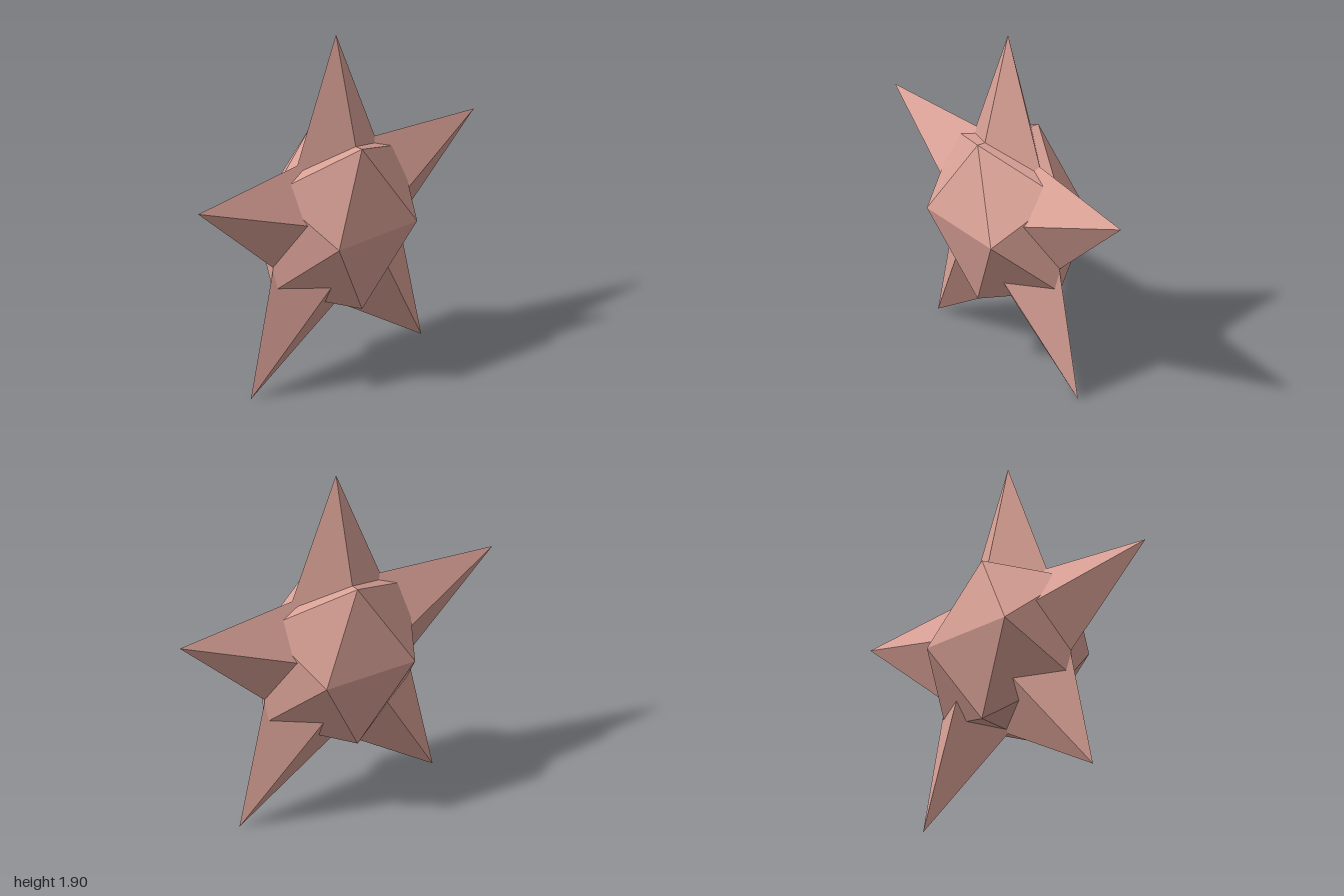
import * as THREE from 'three';

const CENTRE_Y = 0.851;

// Five-pointed star: an outline in the xy plane joined to a front and a back peak
function starGeometry(points, outer, inner, depth) {
  const n = points * 2;
  const rim = (i) => {
    const r = i % 2 ? inner : outer;
    const a = Math.PI / 2 + (i * Math.PI * 2) / n;
    return [r * Math.cos(a), r * Math.sin(a), 0];
  };
  const pos = [];
  for (let i = 0; i < n; i++) {
    const a = rim(i), b = rim((i + 1) % n);
    pos.push(0, 0, depth, ...a, ...b); // front facet
    pos.push(0, 0, -depth, ...b, ...a); // back facet
  }
  const g = new THREE.BufferGeometry();
  g.setAttribute('position', new THREE.Float32BufferAttribute(pos, 3));
  g.computeVertexNormals();
  return g;
}

export function createModel() {
  const group = new THREE.Group();
  group.name = 'star';
  const pink = new THREE.MeshStandardMaterial({ color: 0xd9a196, flatShading: true });
  pink.name = 'dusty pink';

  // Pointed arms
  const arms = new THREE.Mesh(starGeometry(5, 1.0515, 0.478, 0.266), pink);
  arms.name = 'starArms';

  // Faceted core, flattened front to back
  const coreGeometry = new THREE.IcosahedronGeometry(0.538, 0);
  coreGeometry.rotateY(Math.PI / 2).scale(1, 1, 0.7);
  const core = new THREE.Mesh(coreGeometry, pink);
  core.name = 'core';

  for (const mesh of [arms, core]) {
    mesh.position.y = CENTRE_Y;
    group.add(mesh);
  }
  return group;
}
